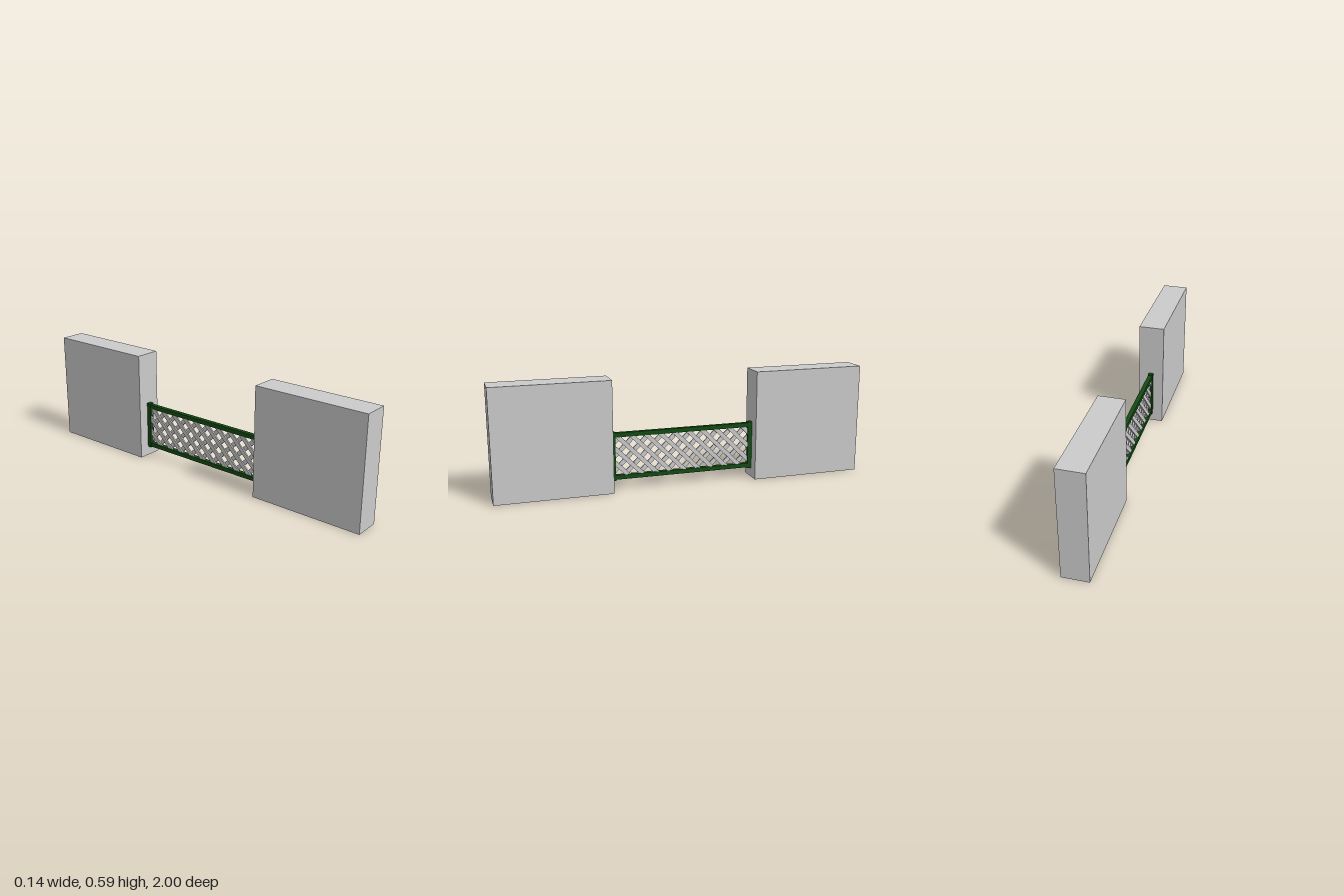
import * as THREE from 'three';

const grey = new THREE.MeshStandardMaterial({ color: 0xcccccc });
const green = new THREE.MeshStandardMaterial({ color: 0x144a14 });

function addBox(parent, name, material, size, position) {
  const mesh = new THREE.Mesh(new THREE.BoxGeometry(...size), material);
  mesh.name = name;
  mesh.position.set(...position);
  parent.add(mesh);
  return mesh;
}

export function createModel() {
  const model = new THREE.Group();
  model.name = 'wallsWithLatticePanel';

  const halfGap = 0.39, bottom = 0.05, top = 0.31, bar = 0.023, depth = 0.026;
  const midY = (bottom + top) / 2;

  // Two wall blocks, with a frame post against each
  const frame = new THREE.Group();
  frame.name = 'frame';
  for (const side of [1, -1]) {
    addBox(model, side > 0 ? 'frontWall' : 'backWall', grey,
      [0.138, 0.592, 1 - halfGap], [0, 0.296, side * (1 + halfGap) / 2]);
    addBox(frame, side > 0 ? 'frontPost' : 'backPost', green,
      [depth, top - bottom, bar], [0, midY, side * (halfGap - bar / 2)]);
  }

  // Horizontal rails, set just inside the ends of the posts
  const railY = { bottomRail: bottom + 0.005 + bar / 2, topRail: top - 0.005 - bar / 2 };
  for (const [name, y] of Object.entries(railY)) {
    addBox(frame, name, green, [depth - 0.002, bar, 2 * (halfGap - bar)], [0, y, 0]);
  }
  model.add(frame);

  // Diagonal slats in two crossing layers, ending inside the frame
  const lattice = new THREE.Group();
  lattice.name = 'lattice';
  const pitch = 0.077, width = 0.023, thick = 0.008;
  const limitZ = halfGap - bar / 2, y0 = railY.bottomRail, y1 = railY.topRail;
  const crossY = midY - 0.019;
  for (const dir of [1, -1]) {
    for (let k = -7; k <= 7; k++) {
      // Centre line: z = c + dir * (y - crossY)
      const c = k * pitch;
      const ends = [(-limitZ - c) * dir + crossY, (limitZ - c) * dir + crossY];
      const lo = Math.max(y0, Math.min(...ends));
      const hi = Math.min(y1, Math.max(...ends));
      if (hi - lo < 0.015) continue;
      const y = (lo + hi) / 2;
      const slat = addBox(lattice, 'slat', grey,
        [thick, (hi - lo) * Math.SQRT2, width],
        [dir * thick / 2, y, c + dir * (y - crossY)]);
      slat.rotation.x = dir * Math.PI / 4;
    }
  }
  model.add(lattice);
  return model;
}
